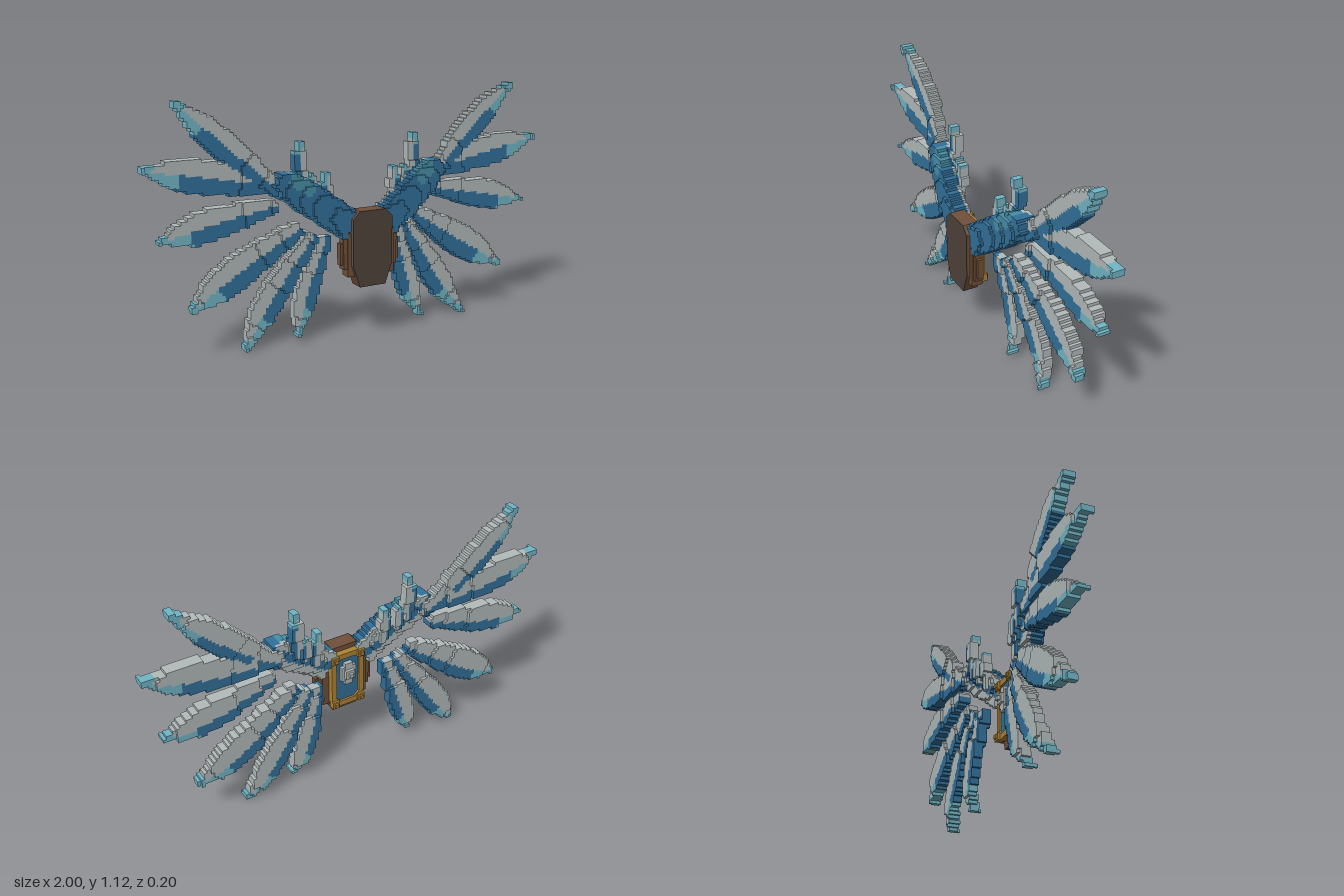
import * as THREE from 'three';

const V = 0.0145; // size of one small cube

const paint = (name, hex) => {
  const m = new THREE.MeshStandardMaterial({ color: hex });
  m.name = name;
  return m;
};

// Fills a box-shaped region with cubes wherever pick(x, y, z) returns a material index,
// keeping only outside faces and grouping them by material.
function cubes(name, min, max, mats, pick) {
  const cells = new Map();
  const lo = min.map(n => Math.floor(n / V)), hi = max.map(n => Math.ceil(n / V));
  for (let i = lo[0]; i < hi[0]; i++)
    for (let j = lo[1]; j < hi[1]; j++)
      for (let k = lo[2]; k < hi[2]; k++) {
        const c = pick((i + 0.5) * V, (j + 0.5) * V, (k + 0.5) * V);
        if (c >= 0) cells.set(`${i},${j},${k}`, { p: [i, j, k], c });
      }
  const pos = [], nor = [];
  const geo = new THREE.BufferGeometry();
  mats.forEach((_, m) => {
    const start = pos.length / 3;
    for (const { p, c } of cells.values()) {
      if (c !== m) continue;
      for (let a = 0; a < 3; a++)
        for (const s of [1, -1]) {
          const q = [...p];
          q[a] += s;
          if (cells.has(q.join())) continue;
          const corner = (u, w) => {
            const r = [...p];
            if (s > 0) r[a]++;
            r[(a + 1) % 3] += u;
            r[(a + 2) % 3] += w;
            return r.map(n => n * V);
          };
          const f = [corner(0, 0), corner(1, 0), corner(1, 1), corner(0, 1)];
          if (s < 0) f.reverse();
          const n = [0, 0, 0];
          n[a] = s;
          for (const t of [0, 1, 2, 0, 2, 3]) { pos.push(...f[t]); nor.push(...n); }
        }
    }
    geo.addGroup(start, pos.length / 3 - start, m);
  });
  geo.setAttribute('position', new THREE.Float32BufferAttribute(pos, 3));
  geo.setAttribute('normal', new THREE.Float32BufferAttribute(nor, 3));
  const mesh = new THREE.Mesh(geo, mats);
  mesh.name = name;
  return mesh;
}

// Straight-line interpolation through [t, value] points
function ramp(pts, t) {
  for (let i = 1; i < pts.length; i++)
    if (t <= pts[i][0]) {
      const [a, b] = [pts[i - 1], pts[i]];
      return THREE.MathUtils.mapLinear(t, a[0], b[0], a[1], b[1]);
    }
  return pts[pts.length - 1][1];
}

// Position along (t) and across (s) the line a-b
function along(a, b, x, y) {
  const dx = b[0] - a[0], dy = b[1] - a[1], len = Math.hypot(dx, dy);
  return {
    t: ((x - a[0]) * dx + (y - a[1]) * dy) / len ** 2,
    s: ((y - a[1]) * dx - (x - a[0]) * dy) / len,
  };
}

const BLADE = [[0, 0.45], [0.3, 0.8], [0.55, 1], [0.72, 0.92], [0.86, 0.55], [0.94, 0.25], [1, 0.12]];

// Octagonal outline with cut corners
function octagon(Path, hw, y0, y1, cx, cy) {
  const p = new Path();
  [[-hw + cx, y0], [hw - cx, y0], [hw, y0 + cy], [hw, y1 - cx], [hw - cx, y1],
    [-hw + cx, y1], [-hw, y1 - cx], [-hw, y0 + cy]]
    .forEach(([x, y], i) => (i ? p.lineTo(x, y) : p.moveTo(x, y)));
  p.closePath();
  return p;
}

export function createModel() {
  const grey = paint('feather grey', 0xb3bbbb), blue = paint('deep blue', 0x32709a);
  const teal = paint('tip light teal', 0x72b6c6), mid = paint('elbow teal', 0x4790a8);
  const brown = paint('leather brown', 0x70503a), dark = paint('dark brown', 0x50433a);
  const gold = paint('gold', 0xb08436);
  const mats = [grey, blue, teal, mid];
  const root = new THREE.Group();
  root.name = 'wingPack';

  // One blade: root, tip, half width, depth at root / middle / tip, half thickness
  const feather = (name, side, [a, b, w, zs, th]) => {
    const xs = [side * a[0], side * b[0]], ys = [a[1], b[1]];
    const pad = w + V;
    return cubes(name,
      [Math.min(...xs) - pad, Math.max(0, Math.min(...ys) - pad), -0.104],
      [Math.max(...xs) + pad, Math.max(...ys) + pad, 0.06], mats,
      (px, y, z) => {
        const { t, s } = along(a, b, px * side, y);
        if (t < 0 || t > 1) return -1;
        const hw = Math.max(w * ramp(BLADE, t), V * 0.6);
        const d = z - ramp([[0, zs[0]], [0.5, zs[1]], [0.8, zs[1]], [1, zs[2]]], t);
        if (Math.abs(s) > hw || Math.abs(d) > th) return -1;
        const lower = s < (d > 0 ? 0 : -0.25 * hw);
        if (t > (lower ? 0.74 : 0.92)) return 2;
        return lower ? 1 : 0;
      });
  };

  const flight = [
    [[0.37, 0.68], [0.855, 1.115], 0.06, [-0.03, -0.075, -0.055], 0.026],
    [[0.37, 0.72], [1.003, 0.84], 0.073, [-0.04, -0.076, -0.06], 0.026],
    [[0.41, 0.64], [0.94, 0.53], 0.07, [-0.045, -0.076, -0.06], 0.026],
    [[0.30, 0.53], [0.815, 0.21], 0.077, [-0.035, -0.074, -0.05], 0.026],
    [[0.24, 0.49], [0.575, 0], 0.066, [-0.03, -0.064, -0.03], 0.026],
    [[0.18, 0.48], [0.32, 0.03], 0.056, [-0.02, -0.054, -0.015], 0.024],
  ];
  const coverts = [
    [[0.29, 0.68], [0.29, 0.91], 0.032, [-0.03, -0.045, -0.035], 0.022],
    [[0.245, 0.64], [0.235, 0.77], 0.026, [-0.02, -0.04, -0.03], 0.022],
    [[0.18, 0.58], [0.175, 0.765], 0.028, [0, -0.02, -0.015], 0.022],
  ];

  for (const side of [1, -1]) {
    const wing = new THREE.Group();
    wing.name = side > 0 ? 'leftWing' : 'rightWing';
    flight.forEach((f, i) => wing.add(feather(`flightFeather${i + 1}`, side, f)));
    coverts.forEach((f, i) => wing.add(feather(`smallFeather${i + 1}`, side, f)));

    // Thick arm with grey edging behind and a teal elbow
    const a = [0.09, 0.53], b = [0.39, 0.745];
    wing.add(cubes('wingArm', [side > 0 ? 0 : -0.5, 0.4, -0.1], [side > 0 ? 0.5 : 0, 0.9, 0.11], mats,
      (px, y, z) => {
        const { t, s } = along(a, b, px * side, y);
        if (t < 0 || t > 1.08) return -1;
        const hw = ramp([[0, 0.065], [0.6, 0.07], [0.9, 0.062], [1.08, 0.03]], t);
        const d = z - ramp([[0, 0.045], [0.5, 0.025], [1, -0.015]], t);
        const th = 0.047 - 0.3 * Math.max(0, Math.abs(s) - 0.03);
        if (Math.abs(s) > hw || Math.abs(d) > th) return -1;
        if (d < -0.022 && Math.abs(s) > 0.022) return 0;
        return t > 0.66 && t < 0.98 && s > 0.005 && d > -0.01 ? 3 : 1;
      }));
    root.add(wing);
  }

  const body = new THREE.Group();
  body.name = 'backPack';
  const add = (name, geo, mat, x = 0, y = 0, z = 0) => {
    const m = new THREE.Mesh(geo, mat);
    m.name = name;
    m.position.set(x, y, z);
    body.add(m);
  };
  const slab = (shape, depth) => new THREE.ExtrudeGeometry(shape, { depth, bevelEnabled: false });
  const box = (name, mat, w, h, d, x, y, z) => add(name, new THREE.BoxGeometry(w, h, d), mat, x, y, z);

  // Main case with a dark face plate
  const outline = octagon(THREE.Shape, 0.1, 0.25, 0.6, 0.035, 0.1);
  add('case', slab(outline, 0.068), brown, 0, 0, 0.03);
  add('facePlate', slab(outline, 0.005), dark, 0, 0, 0.098);

  // Stepped side pouches
  for (const side of [1, -1])
    [[0.118, 0.3, 0.5, 0.055], [0.136, 0.335, 0.475, 0.042], [0.15, 0.355, 0.455, 0.03]]
      .forEach(([x, y0, y1, d]) =>
        box('sidePouch', brown, 0.07, y1 - y0, d, side * (x - 0.035), (y0 + y1) / 2, 0.058));

  // Gold frame around a blue panel on the back
  const frame = octagon(THREE.Shape, 0.085, 0.285, 0.575, 0.03, 0.03);
  frame.holes.push(octagon(THREE.Path, 0.06, 0.312, 0.548, 0.022, 0.022));
  add('backFrame', slab(frame, 0.03), gold, 0, 0, 0);
  add('backPanel', slab(octagon(THREE.Shape, 0.062, 0.31, 0.55, 0.022, 0.022), 0.02), blue, 0, 0, 0.01);
  for (const side of [1, -1])
    for (const y of [0.305, 0.555]) {
      box('frameCorner', gold, 0.036, 0.036, 0.03, side * 0.068, y, 0.004);
      box('frameStud', gold, 0.018, 0.018, 0.012, side * 0.068, y, -0.014);
    }

  // Grey clasp in the upper middle of the panel
  box('claspPlate', grey, 0.075, 0.075, 0.02, 0, 0.465, 0.002);
  box('claspBar', grey, 0.04, 0.115, 0.02, 0, 0.465, 0);
  box('claspBoss', grey, 0.045, 0.045, 0.02, 0, 0.465, -0.014);
  box('claspKnob', grey, 0.02, 0.02, 0.014, 0, 0.465, -0.03);
  root.add(body);
  return root;
}
